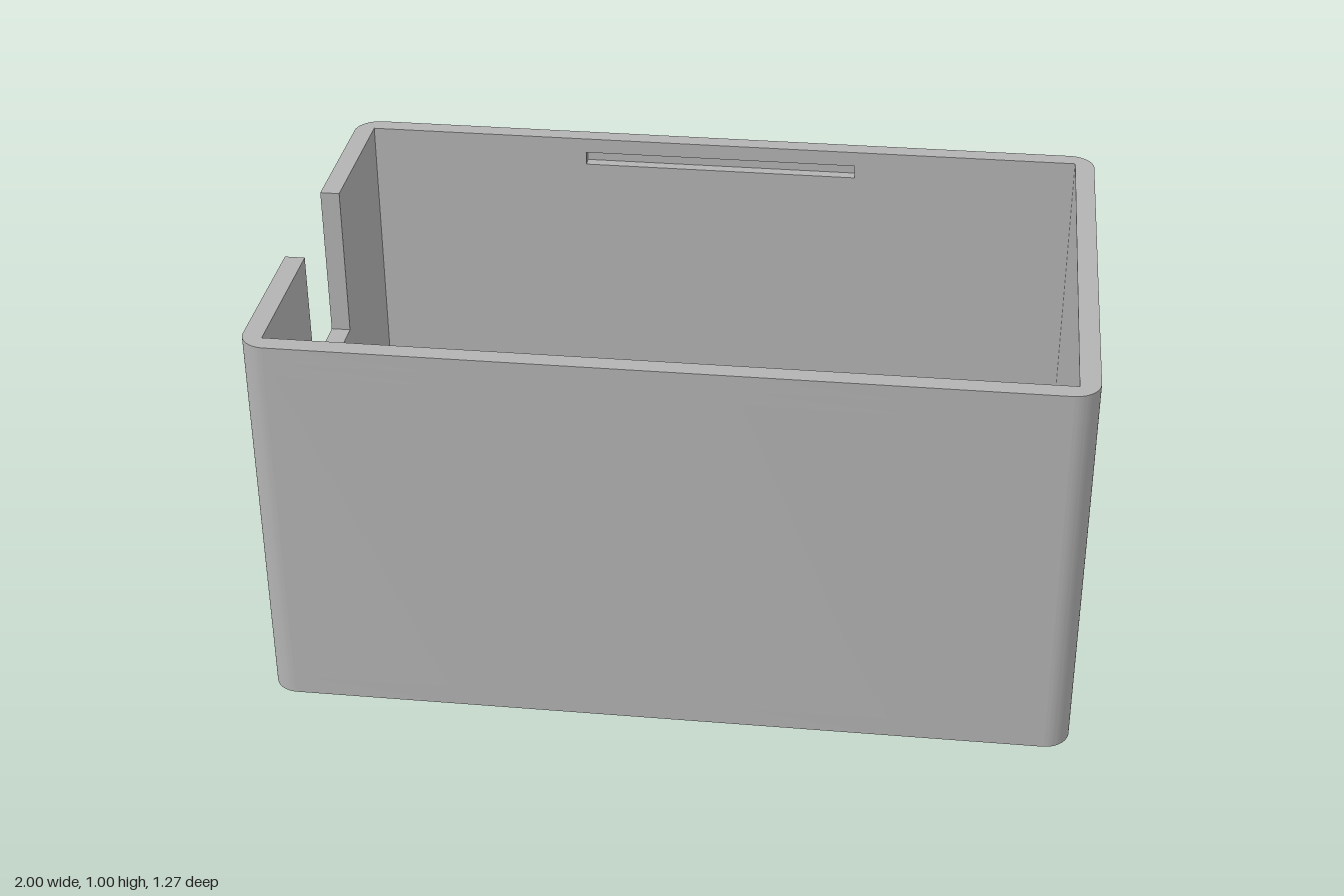
import * as THREE from 'three';
import { toCreasedNormals } from 'three/addons/utils/BufferGeometryUtils.js';

const X = 1, Z = 0.633;          // outer half sizes
const IX = 0.95, IZ = 0.586;     // inner half sizes
const R = 0.065;                 // outer corner radius
const FLOOR = 0.05, TOP = 1;
const ZC = Z - R;                // end walls span between the rounded corners

const extrude = (shape, depth) => toCreasedNormals(
  new THREE.ExtrudeGeometry(shape, { depth, bevelEnabled: false, curveSegments: 16 }), 0.5);

// Plan shape raised from y0 to y1
const raise = (shape, y0, y1) => extrude(shape, y1 - y0).rotateX(-Math.PI / 2).translate(0, y0, 0);

function polygon(points) {
  return new THREE.Shape(points.map(([x, y]) => new THREE.Vector2(x, y)));
}

// Plan of a long wall with both rounded corners; grooveDepth cuts its inner face
function longWallPlan(grooveDepth = 0) {
  const s = new THREE.Shape();
  s.moveTo(X, ZC);
  s.absarc(X - R, ZC, R, 0, Math.PI / 2, false);
  s.lineTo(-X + R, Z);
  s.absarc(-X + R, ZC, R, Math.PI / 2, Math.PI, false);
  s.lineTo(-IX, ZC);
  s.lineTo(-IX, IZ);
  if (grooveDepth) {
    const g = 0.365;
    s.lineTo(-g, IZ);
    s.lineTo(-g, IZ + grooveDepth);
    s.lineTo(g, IZ + grooveDepth);
    s.lineTo(g, IZ);
  }
  s.lineTo(IX, IZ);
  s.lineTo(IX, ZC);
  s.closePath();
  return s;
}

export function createModel() {
  const model = new THREE.Group();
  model.name = 'openBox';
  const grey = new THREE.MeshStandardMaterial({ color: 0xb3b3b3 });
  grey.name = 'grey plastic';

  const add = (name, geometry, parent = model) => {
    const mesh = new THREE.Mesh(geometry, grey);
    mesh.name = name;
    parent.add(mesh);
    return mesh;
  };

  // Floor slab with rounded corners
  const plan = new THREE.Shape();
  plan.absarc(X - R, ZC, R, 0, Math.PI / 2, false);
  plan.absarc(-X + R, ZC, R, Math.PI / 2, Math.PI, false);
  plan.absarc(-X + R, -ZC, R, Math.PI, Math.PI * 1.5, false);
  plan.absarc(X - R, -ZC, R, Math.PI * 1.5, Math.PI * 2, false);
  plan.closePath();
  add('floor', raise(plan, 0, FLOOR));

  // Long walls in three bands, the middle one holding the lid groove
  const bands = [
    ['lowerBand', FLOOR, 0.925, 0],
    ['grooveBand', 0.925, 0.96, 0.03],
    ['rimBand', 0.96, TOP, 0],
  ];
  for (const [name, turn] of [['backWall', 0], ['frontWall', Math.PI]]) {
    const wall = new THREE.Group();
    wall.name = name;
    wall.rotation.y = turn;
    for (const [band, y0, y1, depth] of bands) add(band, raise(longWallPlan(depth), y0, y1), wall);
    model.add(wall);
  }

  // Left end wall with a round shaft hole
  const holed = polygon([[-ZC, FLOOR], [ZC, FLOOR], [ZC, TOP], [-ZC, TOP]]);
  const hole = new THREE.Path();
  hole.absarc(0, 0.205, 0.067, 0, Math.PI * 2, true);
  holed.holes.push(hole);
  add('leftWall', extrude(holed, X - IX).rotateY(Math.PI / 2).translate(IX, 0, 0));

  // Right end wall with a notch open at the rim
  const N = 0.18, NY = 0.595;
  const notched = polygon([
    [-ZC, FLOOR], [ZC, FLOOR], [ZC, TOP], [N, TOP], [N, NY], [-N, NY], [-N, TOP], [-ZC, TOP],
  ]);
  add('rightWall', extrude(notched, X - IX).rotateY(Math.PI / 2).translate(-X, 0, 0));

  // Support blocks standing on the floor
  const blockTop = 0.163;
  for (const [name, x0, x1, halfZ] of [
    ['rightSupport', -0.455, -0.325, 0.105],
    ['middleSupport', 0.063, 0.193, 0.105],
    ['leftSupport', 0.73, 0.835, 0.17],
  ]) {
    add(name, new THREE.BoxGeometry(x1 - x0, blockTop - FLOOR, halfZ * 2)
      .translate((x0 + x1) / 2, (blockTop + FLOOR) / 2, 0));
  }

  return model;
}
